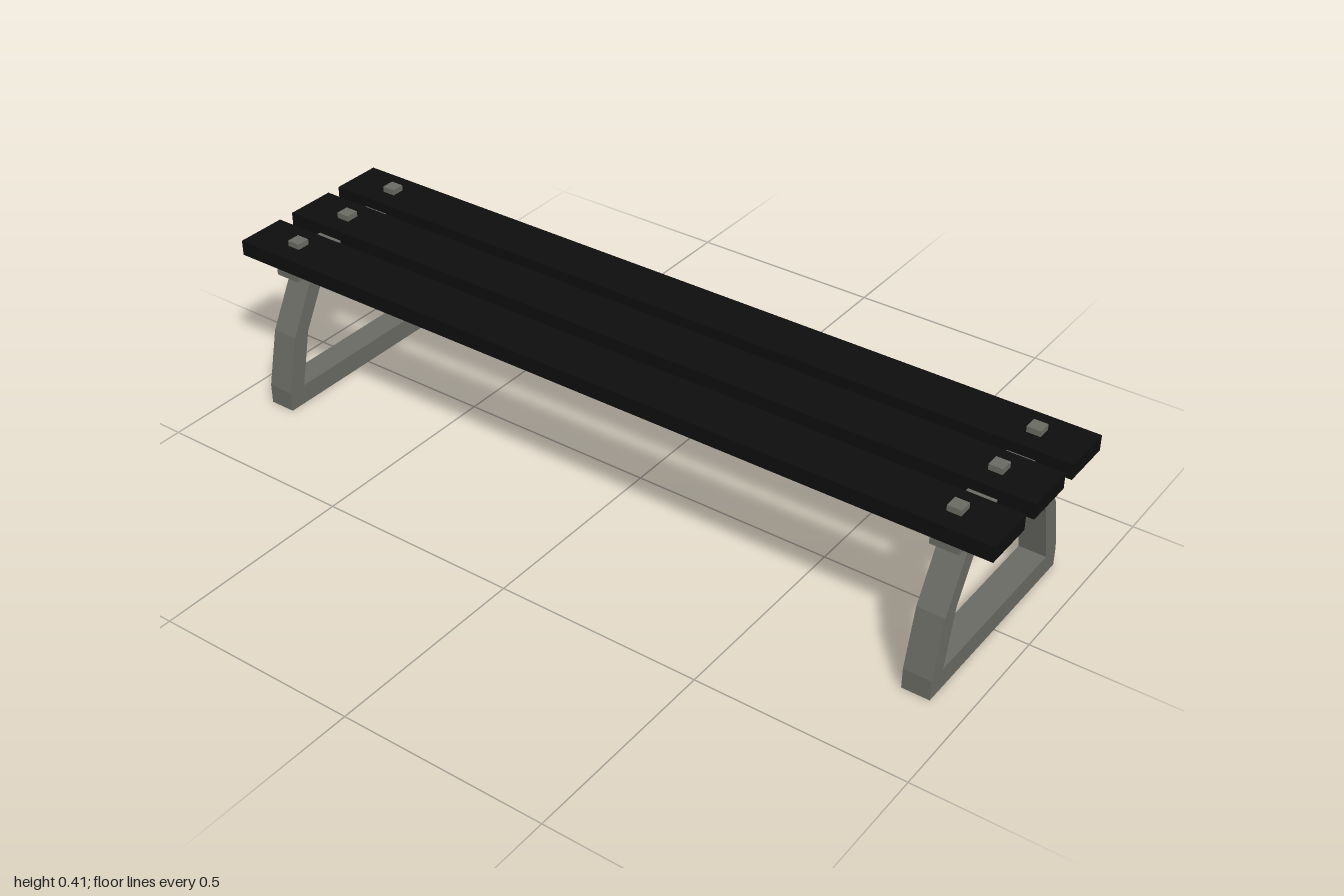
import * as THREE from 'three';

export function createModel() {
  const bench = new THREE.Group();
  bench.name = 'bench';

  const metal = new THREE.MeshStandardMaterial({ color: 0x6a6a64 });
  metal.name = 'grey metal';
  const slatBlack = new THREE.MeshStandardMaterial({ color: 0x0e0e0e });
  slatBlack.name = 'black slat';

  const add = (name, geometry, material, x, y, z) => {
    const mesh = new THREE.Mesh(geometry, material);
    mesh.name = name;
    mesh.position.set(x, y, z);
    bench.add(mesh);
  };

  // Leg frame: closed loop with bent uprights, mirrored from its right half
  const mirrored = (half) => [...half, ...half.map(([x, y]) => [-x, y]).reverse()]
    .map(([x, y]) => new THREE.Vector2(x, y));
  const frame = new THREE.Shape(mirrored([
    [0.272, 0], [0.272, 0.05], [0.239, 0.19], [0.163, 0.33], [0.21, 0.33], [0.21, 0.375],
  ]));
  frame.holes.push(new THREE.Path(mirrored([[0.226, 0.05], [0.194, 0.19], [0.117, 0.33]])));
  const depth = 0.066;
  const frameGeometry = new THREE.ExtrudeGeometry(frame, { depth, bevelEnabled: false });
  frameGeometry.translate(0, 0, -depth / 2);

  const slatGeometry = new THREE.BoxGeometry(0.128, 0.038, 2);
  const boltGeometry = new THREE.BoxGeometry(0.033, 0.02, 0.033);
  const slatX = [-0.165, 0.004, 0.168];
  const frameZ = { front: 0.885, back: -0.877 };

  // Seat slats
  slatX.forEach((x, i) => add(`seatSlat${i + 1}`, slatGeometry, slatBlack, x, 0.381, 0));

  // Leg frames, each with a bolt head through every slat
  for (const [end, z] of Object.entries(frameZ)) {
    add(`${end}LegFrame`, frameGeometry, metal, 0, 0, z);
    slatX.forEach((x, i) => add(`${end}Bolt${i + 1}`, boltGeometry, metal, x, 0.404, z));
  }

  return bench;
}
